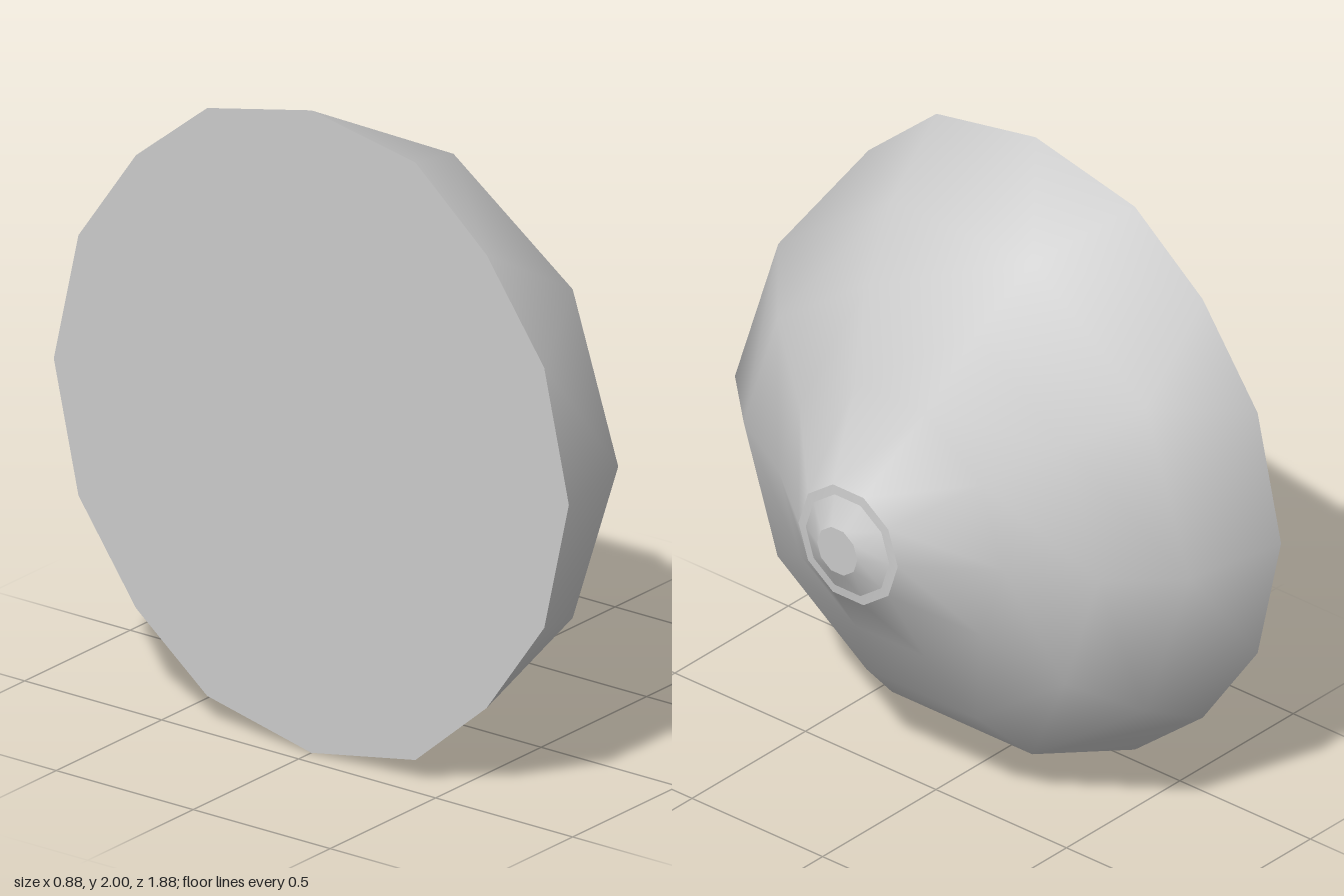
import * as THREE from 'three';

const CENTER_Y = 1;
const material = new THREE.MeshStandardMaterial({ color: 0xcccccc });

// Ten-sided ring around the x axis, starting at +z and turning towards +y
function ring(x, r, sides = 10) {
  return Array.from({ length: sides }, (_, i) => {
    const a = (i / sides) * Math.PI * 2;
    return [x, CENTER_Y + r * Math.sin(a), r * Math.cos(a)];
  });
}

// Slightly squashed sixteen-sided rim, mirrored from its upper +z quarter
function rimRing(x) {
  const quarter = [[0.94, 0], [0.85, 0.405], [0.64, 0.705], [0.38, 0.93]];
  const half = [...quarter, [0, 1], [-0.38, 0.915], [-0.64, 0.705], [-0.85, 0.405]];
  const lower = [[-0.94, 0], ...half.slice(1).reverse().map(([z, y]) => [z, -y])];
  return [...half, ...lower].map(([z, y]) => [x, CENTER_Y + y, z]);
}

// Smooth skin through rings given from back to front; side counts may differ
function loft(rings) {
  const positions = rings.flat(2);
  const index = [];
  let start = 0;
  for (let k = 0; k + 1 < rings.length; k++) {
    const n = rings[k].length, m = rings[k + 1].length;
    const outer = (i) => start + (i % n);
    const inner = (j) => start + n + (j % m);
    let i = 0, j = 0;
    while (i < n || j < m) {
      // advance along whichever ring lags behind
      if (j >= m || (i < n && (i + 0.5) / n <= (j + 0.5) / m)) {
        index.push(outer(i + 1), outer(i), inner(j));
        i++;
      } else {
        index.push(outer(i), inner(j), inner(j + 1));
        j++;
      }
    }
    start += n;
  }
  return build(positions, index);
}

// Flat disc filling a ring
function cap(points, facesForward) {
  const n = points.length;
  const positions = [...points.flat(), points[0][0], CENTER_Y, 0];
  const index = [];
  for (let i = 0; i < n; i++) {
    const next = (i + 1) % n;
    index.push(n, ...(facesForward ? [next, i] : [i, next]));
  }
  return build(positions, index);
}

function build(positions, index) {
  const g = new THREE.BufferGeometry();
  g.setAttribute('position', new THREE.Float32BufferAttribute(positions, 3));
  g.setIndex(index);
  g.computeVertexNormals();
  return g;
}

export function createModel() {
  const group = new THREE.Group();
  const add = (name, geometry) => {
    const mesh = new THREE.Mesh(geometry, material);
    mesh.name = name;
    group.add(mesh);
  };

  const rim = rimRing(-0.44);
  const lip = ring(0.387, 0.19);
  const noseBase = ring(0.39, 0.16);
  const noseTip = ring(0.435, 0.077);

  // Bowl-shaped body with its flat back
  add('body', loft([rim, ring(-0.115, 0.87), ring(0.065, 0.68), ring(0.2, 0.432), lip]));
  add('backPlate', cap(rim, false));

  // Narrow step, then the small blunt nose
  add('collar', loft([lip, noseBase]));
  add('nose', loft([noseBase, noseTip]));
  add('noseCap', cap(noseTip, true));
  return group;
}
